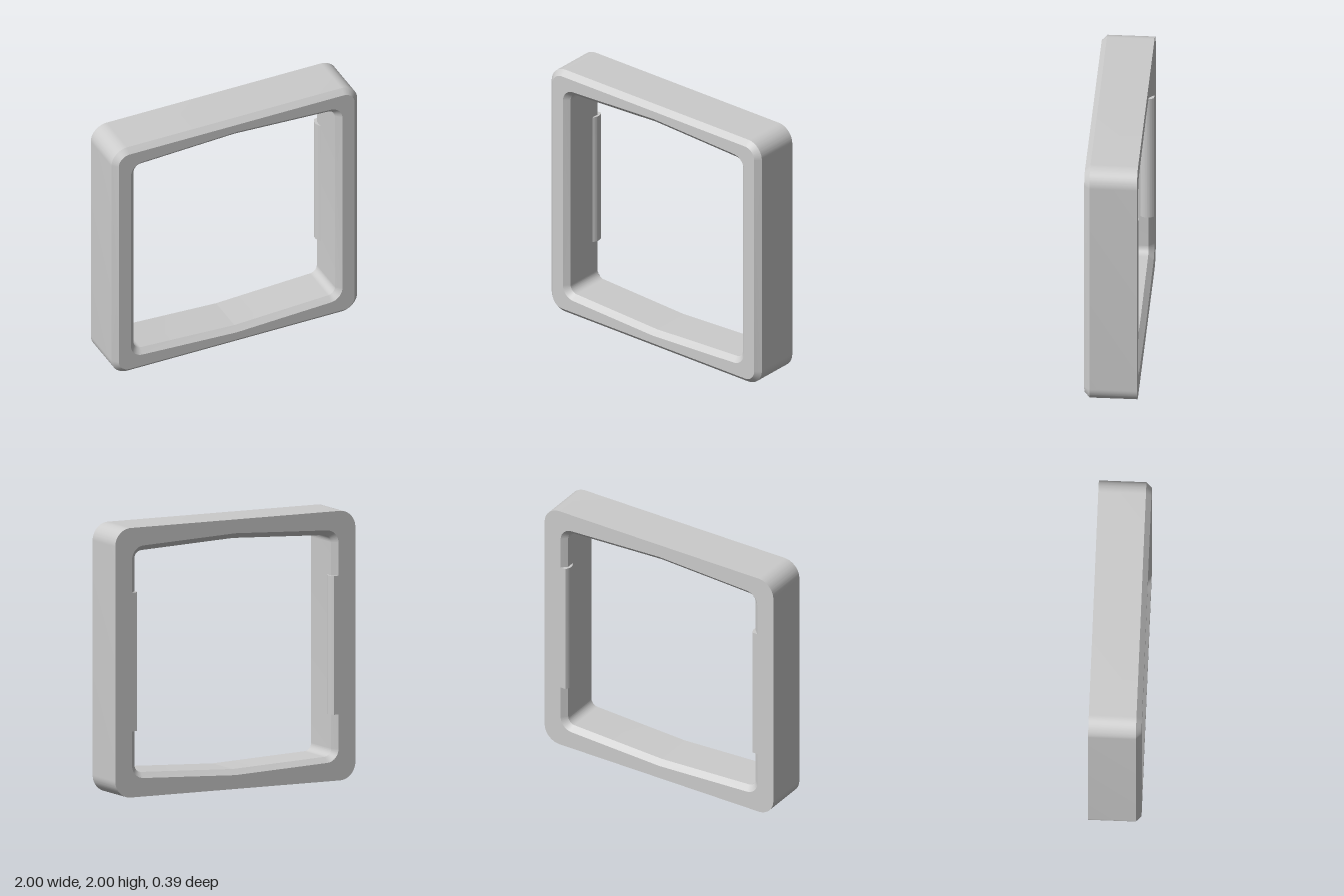
import * as THREE from 'three';
import { toCreasedNormals } from 'three/addons/utils/BufferGeometryUtils.js';

const SEG = 24;       // segments per rounded corner
const HALF = 0.195;   // half depth of the frame
const BEVEL = 0.04;

// Rounded square outline around (0, 1), counter-clockwise from the front.
// cx, cy: corner centre; r: corner radius; slope: tilt of the top and bottom edges.
function outline(cx, cy, r, slope) {
  const arc = [];
  for (let i = 0; i <= SEG; i++) {
    const a = (i / SEG) * (Math.PI / 2 - slope);
    arc.push([cx + r * Math.cos(a), cy + r * Math.sin(a)]);
  }
  const peak = cy + (r + cx * Math.sin(slope)) / Math.cos(slope);
  const top = [...arc, [0, peak], ...arc.map(([x, y]) => [-x, y]).reverse()];
  const bottom = top.map(([x, y]) => [-x, -y]);
  return [...top, ...bottom].map(([x, y]) => [x, y + 1]);
}

const outer = (inset) => outline(0.87, 0.87, 0.13 - inset, 0);
const opening = (grow) => outline(0.76, 0.763, 0.06 + grow, 0.045);

// Joins the rings into one closed surface
function loft(rings) {
  const n = rings[0].pts.length;
  const pos = [];
  const index = [];
  for (const { pts, z } of rings) for (const [x, y] of pts) pos.push(x, y, z);
  for (let k = 0; k < rings.length; k++) {
    const k2 = (k + 1) % rings.length;
    for (let i = 0; i < n; i++) {
      const j = (i + 1) % n;
      const a = k * n + i, b = k * n + j, c = k2 * n + i, d = k2 * n + j;
      index.push(a, c, b, b, c, d);
    }
  }
  const g = new THREE.BufferGeometry();
  g.setAttribute('position', new THREE.Float32BufferAttribute(pos, 3));
  g.setIndex(index);
  return toCreasedNormals(g, 0.08);
}

// Rounded retaining bead filling the rear bevel on one side
function clipGeometry(side) {
  const s = new THREE.Shape();
  s.moveTo(side * 0.86, HALF);
  s.lineTo(side * 0.82, HALF);
  s.quadraticCurveTo(side * 0.78, HALF - 0.05, side * 0.82, HALF - 0.1);
  s.lineTo(side * 0.86, HALF - 0.1);
  s.closePath();
  const g = new THREE.ExtrudeGeometry(s, { depth: 1.03, bevelEnabled: false, curveSegments: 16 });
  g.rotateX(-Math.PI / 2);
  g.translate(0, 0.49, 0);
  return toCreasedNormals(g, 0.4);
}

export function createModel() {
  const model = new THREE.Group();
  model.name = 'squareBezel';
  const material = new THREE.MeshStandardMaterial({ color: 0xcccccc });
  const add = (name, geometry) => {
    const mesh = new THREE.Mesh(geometry, material);
    mesh.name = name;
    model.add(mesh);
  };

  // Frame: bevelled outside at the front, opening bevelled front and back
  add('frame', loft([
    { pts: outer(BEVEL), z: HALF },
    { pts: outer(0), z: HALF - BEVEL },
    { pts: outer(0), z: -HALF },
    { pts: opening(BEVEL), z: -HALF },
    { pts: opening(0), z: -HALF + BEVEL },
    { pts: opening(0), z: HALF - BEVEL },
    { pts: opening(BEVEL), z: HALF },
  ]));

  // Clips on both inner side walls
  add('leftClip', clipGeometry(1));
  add('rightClip', clipGeometry(-1));
  return model;
}
